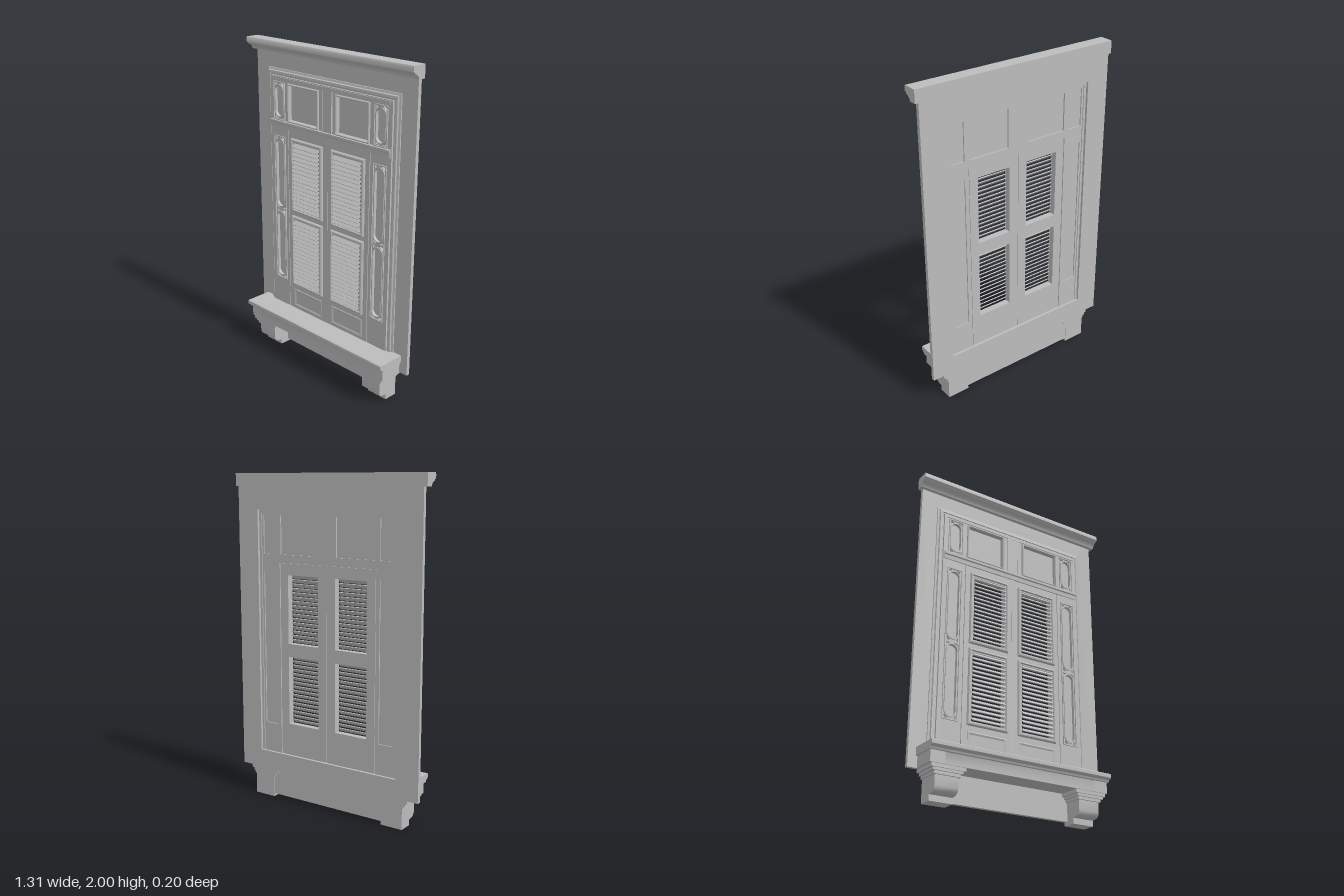
import * as THREE from 'three';
import { toCreasedNormals } from 'three/addons/utils/BufferGeometryUtils.js';

export function createModel() {
  const root = new THREE.Group();
  root.name = 'shutteredWindow';
  const stone = new THREE.MeshStandardMaterial({ color: 0xbcbcbc });
  stone.name = 'plainGrey';

  function add(name, geometry, parent = root) {
    const mesh = new THREE.Mesh(geometry, stone);
    mesh.name = name;
    parent.add(mesh);
    return mesh;
  }
  function group(name) {
    const g = new THREE.Group();
    g.name = name;
    root.add(g);
    return g;
  }
  function box(name, x0, x1, y0, y1, z0, z1, parent) {
    const g = new THREE.BoxGeometry(x1 - x0, y1 - y0, z1 - z0);
    g.translate((x0 + x1) / 2, (y0 + y1) / 2, (z0 + z1) / 2);
    return add(name, g, parent);
  }
  const polygon = (C, pts) => new C(pts.map(p => new THREE.Vector2(p[0], p[1])));
  const rect = (C, x0, x1, y0, y1) => polygon(C, [[x0, y0], [x1, y0], [x1, y1], [x0, y1]]);

  // Upright sheet with openings, between two depths
  function sheet(name, shape, holes, z0, z1, parent) {
    shape.holes.push(...holes);
    const g = new THREE.ExtrudeGeometry(shape, { depth: z1 - z0, bevelEnabled: false, curveSegments: 10 });
    g.translate(0, 0, z0);
    return add(name, g, parent);
  }
  // Side profile of (z, y) points run along x
  function run(name, profile, x0, x1, parent) {
    const g = new THREE.ExtrudeGeometry(polygon(THREE.Shape, profile), { depth: x1 - x0, bevelEnabled: false });
    g.rotateY(-Math.PI / 2).translate(x1, 0, 0);
    return add(name, toCreasedNormals(g, 0.6), parent);
  }
  // Mitred rectangular moulding; profile is (inset, z) from outside to inside
  function moulding(name, x0, x1, y0, y1, profile, parent) {
    const ring = ([d, z]) => [[x0 + d, y0 + d, z], [x1 - d, y0 + d, z], [x1 - d, y1 - d, z], [x0 + d, y1 - d, z]];
    const pos = [];
    for (let i = 0; i < profile.length - 1; i++) {
      const o = ring(profile[i]), n = ring(profile[i + 1]);
      for (let k = 0; k < 4; k++) {
        const m = (k + 1) % 4;
        pos.push(...o[k], ...o[m], ...n[m], ...o[k], ...n[m], ...n[k]);
      }
    }
    const g = new THREE.BufferGeometry();
    g.setAttribute('position', new THREE.Float32BufferAttribute(pos, 3));
    g.computeVertexNormals();
    return add(name, g, parent);
  }
  // Upright slot with round ends
  function slot(C, cx, y0, y1, r) {
    const s = new C();
    s.absarc(cx, y1 - r, r, 0, Math.PI, false);
    s.absarc(cx, y0 + r, r, Math.PI, 2 * Math.PI, false);
    s.closePath();
    return s;
  }

  // Wall surround, open at the bottom where the sill sits
  sheet('wallSurround', polygon(THREE.Shape, [
    [-0.635, 0.18], [-0.49, 0.18], [-0.49, 1.79], [0.49, 1.79], [0.49, 0.18],
    [0.635, 0.18], [0.635, 1.95], [-0.635, 1.95]]), [], -0.1, -0.077);

  // Cornice
  run('cornice', [[-0.1, 1.925], [-0.055, 1.925], [-0.05, 1.938], [-0.038, 1.95], [-0.024, 1.957],
    [-0.016, 1.967], [-0.008, 1.969], [-0.008, 1.99], [-0.014, 2], [-0.1, 2]], -0.655, 0.655);

  // Architrave around the opening
  moulding('architrave', -0.53, 0.53, 0.2, 1.83, [[0, -0.078], [0, -0.07], [0.012, -0.066], [0.016, -0.058],
    [0.03, -0.056], [0.034, -0.062], [0.044, -0.062], [0.048, -0.054], [0.06, -0.054], [0.06, -0.09]]);

  // Sill
  run('sill', [[-0.1, 0.18], [0.07, 0.18], [0.07, 0.245], [0.077, 0.248], [0.082, 0.258],
    [0.094, 0.264], [0.1, 0.27], [0.1, 0.288], [0.096, 0.292], [-0.1, 0.292]], -0.49, 0.49);
  for (const s of [-1, 1]) {
    const a = s < 0 ? -0.578 : 0.49, b = s < 0 ? -0.49 : 0.578;
    box('sillEnd', a, b, 0.18, 0.25, -0.08, 0.07);
  }
  run('sillCap', [[-0.078, 0.246], [0.071, 0.246], [0.077, 0.248], [0.082, 0.258], [0.094, 0.264],
    [0.1, 0.27], [0.1, 0.29], [0.096, 0.294], [-0.078, 0.294]], -0.588, 0.588);

  // Apron and stepped brackets below the sill
  box('apron', -0.4, 0.4, 0.02, 0.182, -0.097, -0.072);
  for (const s of [-1, 1]) {
    const bracket = group(s < 0 ? 'rightBracket' : 'leftBracket');
    const cx = s * 0.463;
    [[0.103, 0.16, 0.181, 0.066], [0.09, 0.145, 0.161, 0.06], [0.079, 0.128, 0.146, 0.052]].forEach(
      ([h, y0, y1, z]) => box('bracketStep', cx - h, cx + h, y0, y1, -0.1, z, bracket));
    run('bracketBody', [[-0.1, 0], [-0.015, 0], [-0.015, 0.034], [0.005, 0.036], [0.025, 0.042],
      [0.037, 0.053], [0.042, 0.07], [0.042, 0.13], [-0.1, 0.13]], cx - 0.07, cx + 0.07, bracket);
  }

  // Transom row with four lights
  const paneEdge = [[0, -0.051], [0, -0.042], [0.004, -0.038], [0.008, -0.038], [0.012, -0.046], [0.012, -0.07]];
  const holes = [];
  for (const s of [-1, 1]) for (const [a, b] of [[0.07, 0.33], [0.363, 0.457]])
    holes.push(rect(THREE.Path, Math.min(s * a, s * b), Math.max(s * a, s * b), 1.525, 1.755));
  const transom = group('transom');
  sheet('transomFrame', rect(THREE.Shape, -0.49, 0.49, 1.475, 1.79), holes, -0.085, -0.05, transom);
  moulding('transomHead', -0.475, 0.475, 1.3, 1.785, [[0, -0.06], [0, -0.047], [0.01, -0.043], [0.018, -0.051]], transom)
    .geometry.setDrawRange(0, 0);
  box('transomHead', -0.475, 0.475, 1.765, 1.785, -0.052, -0.045, transom);
  run('transomBar', [[-0.06, 1.475], [-0.044, 1.475], [-0.042, 1.5], [-0.036, 1.506], [-0.036, 1.52], [-0.06, 1.524]],
    -0.483, 0.483, transom);
  box('mullion', -0.038, 0.038, 1.52, 1.765, -0.052, -0.046, transom);
  for (const x of [-0.036, 0.036]) box('mullionBead', x - 0.004, x + 0.004, 1.52, 1.765, -0.05, -0.041, transom);

  // Pierced ornament with slots and corner spandrels
  function tracery(cx, y0, y1, cells, parent) {
    const cuts = [];
    for (const [a, b] of cells) {
      cuts.push(slot(THREE.Path, cx, a + 0.02, b - 0.02, 0.032));
      sheet('traceryRing', slot(THREE.Shape, cx, a + 0.014, b - 0.014, 0.039),
        [slot(THREE.Path, cx, a + 0.02, b - 0.02, 0.032)], -0.056, -0.044, parent);
      for (const sx of [-1, 1]) for (const [y, d] of [[a, 1], [b, -1]])
        cuts.push(polygon(THREE.Path, [[cx + sx * 0.037, y + d * 0.007], [cx + sx * 0.012, y + d * 0.007],
          [cx + sx * 0.037, y + d * 0.03]]));
    }
    sheet('traceryPlate', rect(THREE.Shape, cx - 0.046, cx + 0.046, y0, y1), cuts, -0.064, -0.051, parent);
  }

  for (const s of [-1, 1]) {
    const side = s < 0 ? 'right' : 'left';
    const span = (a, b) => s < 0 ? [-b, -a] : [a, b];

    // Transom panes
    box('transomPane', ...span(0.065, 0.335), 1.52, 1.76, -0.076, -0.066, transom);
    moulding('paneMoulding', ...span(0.068, 0.332), 1.523, 1.757, paneEdge, transom);
    box('cornerPane', ...span(0.358, 0.462), 1.52, 1.76, -0.078, -0.07, transom);
    tracery(s * 0.41, 1.525, 1.755, [[1.525, 1.755]], transom);
    moulding('cornerMoulding', ...span(0.36, 0.46), 1.522, 1.758,
      [[0, -0.051], [0, -0.043], [0.006, -0.043], [0.006, -0.06]], transom);

    // Side light
    const light = group(side + 'SideLight');
    sheet('sideLightFrame', rect(THREE.Shape, ...span(0.338, 0.49), 0.285, 1.476),
      [rect(THREE.Path, ...span(0.363, 0.457), 0.475, 1.42)], -0.085, -0.05, light);
    box('sideLightPane', ...span(0.358, 0.462), 0.47, 1.425, -0.078, -0.07, light);
    tracery(s * 0.41, 0.475, 1.42, [[0.475, 0.947], [0.947, 1.42]], light);
    moulding('sideLightMoulding', ...span(0.36, 0.46), 0.472, 1.423,
      [[0, -0.051], [0, -0.043], [0.006, -0.043], [0.006, -0.06]], light);

    // Shutter leaf with two louvred openings
    const shutter = group(side + 'Shutter');
    const bays = [[0.465, 0.935], [0.965, 1.43]];
    sheet('shutterLeaf', rect(THREE.Shape, ...span(0.003, 0.334), 0.285, 1.474),
      bays.map(([a, b]) => rect(THREE.Path, ...span(0.06, 0.278), a + 0.025, b - 0.025)), -0.083, -0.05, shutter);
    for (const [a, b] of bays) {
      moulding('louvreFrame', ...span(0.036, 0.302), a, b, [[0, -0.051], [0, -0.044], [0.005, -0.036],
        [0.012, -0.034], [0.018, -0.042], [0.025, -0.042], [0.025, -0.06]], shutter);
      const count = 16, pitch = (b - a - 0.05) / count;
      for (let i = 0; i < count; i++) {
        const slat = add('slat', new THREE.BoxGeometry(0.218, 0.005, 0.032), shutter);
        slat.position.set(s * 0.169, a + 0.025 + (i + 0.5) * pitch, -0.037);
        slat.rotation.x = 0.75;
      }
    }
    // Raised panel at the foot of the leaf
    moulding('footPanelEdge', ...span(0.042, 0.296), 0.312, 0.43,
      [[0, -0.051], [0, -0.047], [0.006, -0.045], [0.016, -0.0495]], shutter);
  }
  // Cover strip where the shutters meet
  box('meetingStrip', -0.006, 0.006, 0.285, 1.476, -0.08, -0.049);

  // Drop the empty placeholder moulding
  transom.children.filter(c => c.geometry.drawRange.count === 0).forEach(c => transom.remove(c));
  return root;
}
